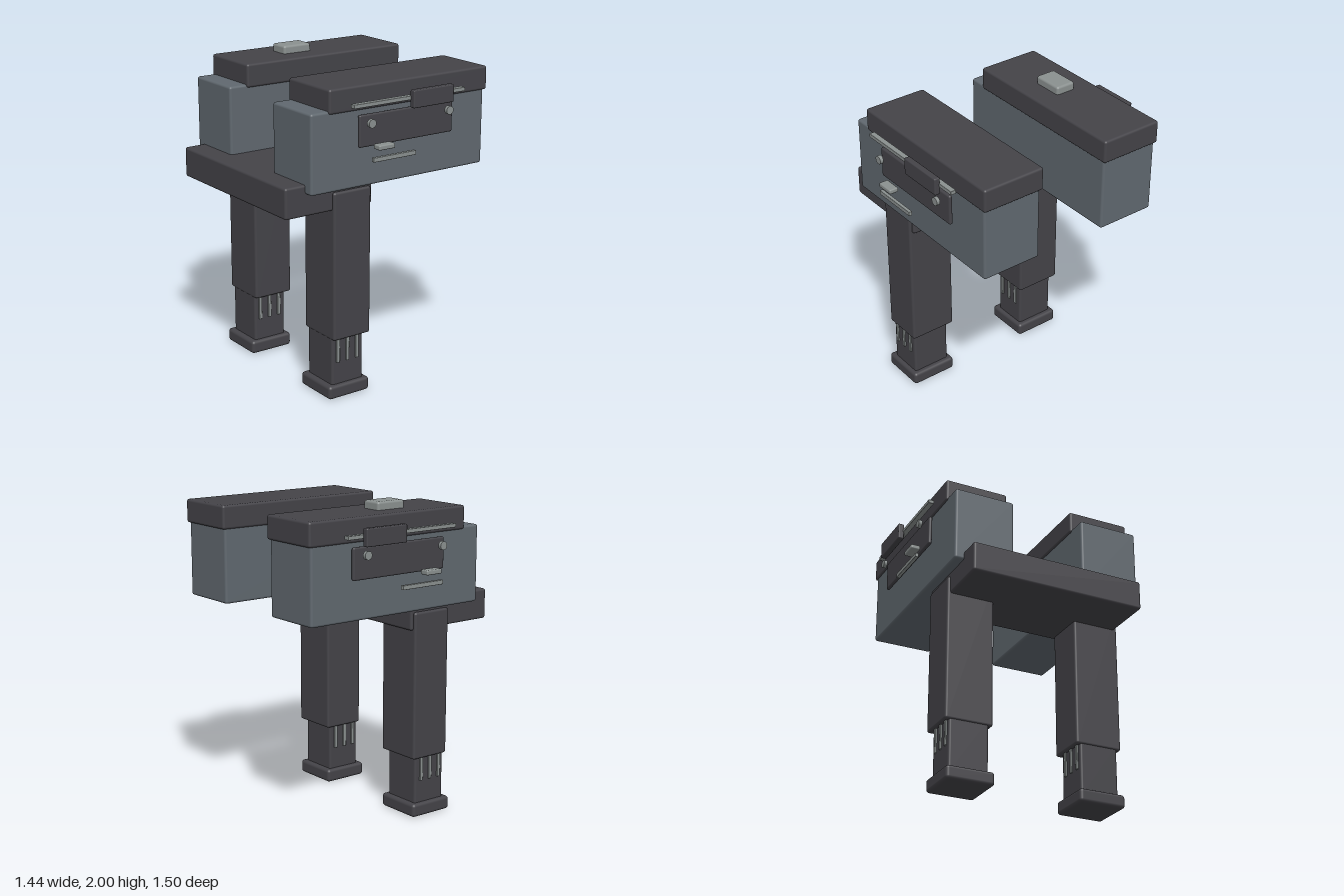
import * as THREE from 'three';
import { RoundedBoxGeometry } from 'three/addons/geometries/RoundedBoxGeometry.js';

export function createModel() {
  const model = new THREE.Group();
  model.name = 'twinBoxStand';

  const mat = (name, color) => {
    const m = new THREE.MeshStandardMaterial({ color });
    m.name = name;
    return m;
  };
  const dark = mat('charcoal', 0x444348);
  const slate = mat('slateGrey', 0x60686f);
  const steel = mat('steelGrey', 0x8a908f);

  // Soft-edged box given by its min and max on each axis
  const box = (parent, name, material, [x0, x1], [y0, y1], [z0, z1], radius = 0.015) => {
    const mesh = new THREE.Mesh(
      new RoundedBoxGeometry(x1 - x0, y1 - y0, z1 - z0, 3, radius), material);
    mesh.position.set((x0 + x1) / 2, (y0 + y1) / 2, (z0 + z1) / 2);
    mesh.name = name;
    parent.add(mesh);
    return mesh;
  };

  // Cross beam joining the two sides
  box(model, 'crossBeam', dark, [-0.72, -0.1], [1.205, 1.395], [-0.572, 0.572]);

  for (const s of [1, -1]) {
    const side = new THREE.Group();
    side.name = s > 0 ? 'frontSide' : 'backSide';
    model.add(side);
    // Distances outward from the middle, mirrored for the back side
    const out = (a, b) => (s > 0 ? [a, b] : [-b, -a]);

    // Telescoping leg
    box(side, 'upperLeg', dark, [-0.39, -0.12], [0.385, 1.317], out(0.281, 0.59));
    box(side, 'lowerLeg', dark, [-0.385, -0.156], [0.06, 0.42], out(0.307, 0.563));
    box(side, 'foot', dark, [-0.422, -0.123], [0.005, 0.09], out(0.281, 0.59), 0.02);
    for (const x of [-0.345, -0.274, -0.203]) {
      box(side, 'legRib', steel, [x - 0.011, x + 0.011], [0.232, 0.4], out(0.297, 0.573), 0.003);
    }

    // Storage box and its lid
    box(side, 'boxBody', slate, [-0.582, 0.698], [1.34, 1.822], out(0.238, 0.632));
    box(side, 'boxLid', dark, [-0.461, 0.716], [1.803, 1.95], out(0.227, 0.642));

    // Outer face fittings
    box(side, 'facePanel', dark, [-0.27, 0.424], [1.587, 1.781], out(0.648, 0.672), 0.011);
    box(side, 'upperRail', steel, [-0.333, 0.488], [1.834, 1.858], out(0.67, 0.706), 0.003);
    box(side, 'slideBlock', dark, [0.075, 0.378], [1.787, 1.895], out(0.698, 0.737), 0.008);
    box(side, 'lowerTab', steel, [-0.184, -0.069], [1.576, 1.606], out(0.69, 0.751), 0.008);
    box(side, 'lowerRail', steel, [-0.21, 0.1], [1.506, 1.533], out(0.71, 0.733), 0.003);

    // Round knobs near the panel ends
    for (const x of [-0.217, 0.357]) {
      const knob = new THREE.Mesh(new THREE.CylinderGeometry(0.026, 0.026, 0.022, 20), steel);
      knob.rotation.x = Math.PI / 2;
      knob.position.set(x, 1.737, s * 0.717);
      knob.name = 'knob';
      side.add(knob);
    }
  }

  // Handle on the back lid
  box(model, 'lidHandle', steel, [-0.095, 0.108], [1.935, 2.0], [-0.505, -0.37]);

  return model;
}
